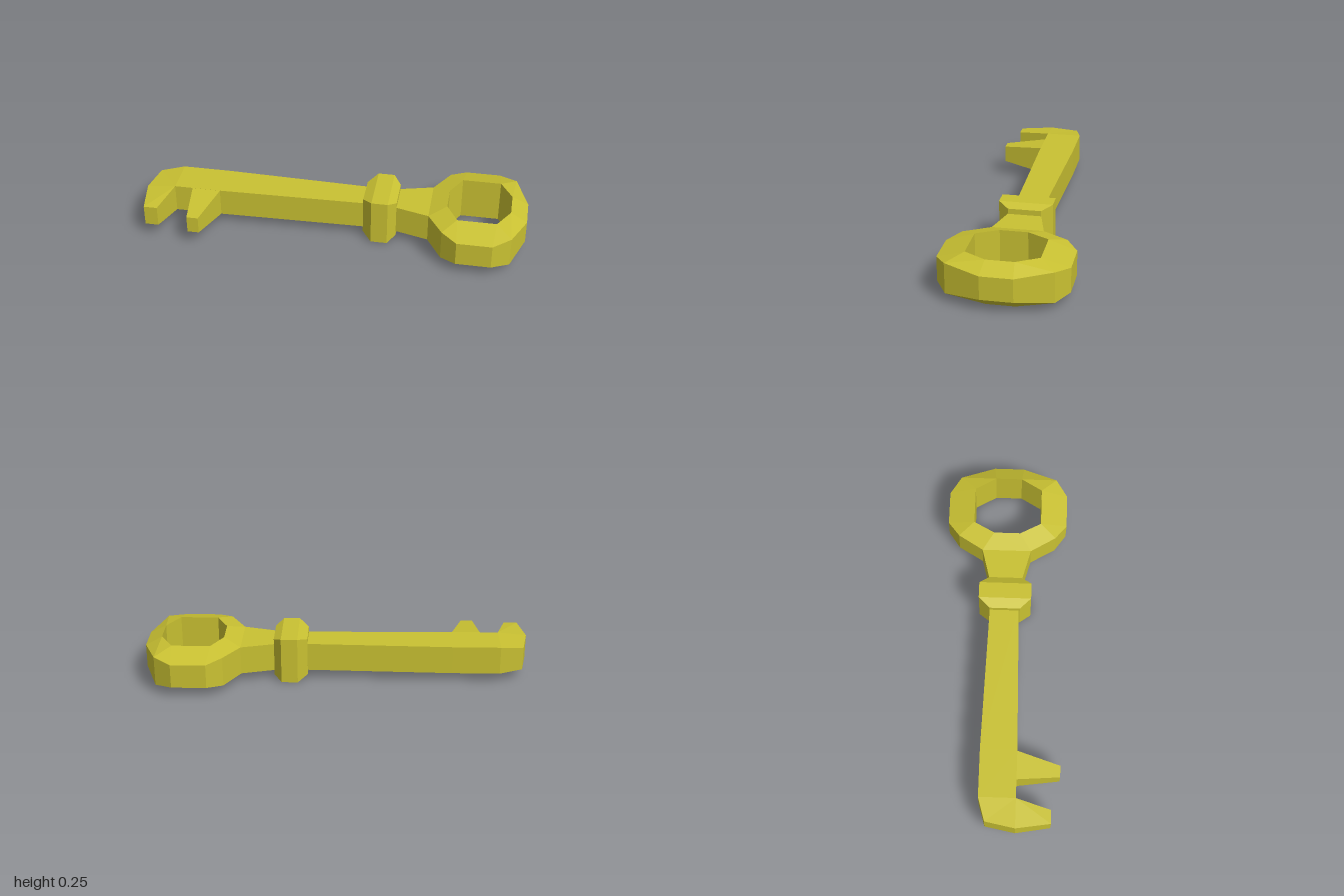
import * as THREE from 'three';

const material = new THREE.MeshStandardMaterial({ color: 0xc9c132, flatShading: true });

// Skins a row of equal-length cross-sections; closed joins the last section to the first.
function loft(name, sections, closed = false) {
  const positions = [];
  const tri = (a, b, c) => {
    const area = b.clone().sub(a).cross(c.clone().sub(a)).length();
    if (area > 1e-7) for (const p of [a, b, c]) positions.push(p.x, p.y, p.z);
  };
  const rings = sections.map(s => s.map(p => new THREE.Vector3(...p)));
  const n = rings[0].length;
  const spans = closed ? rings.length : rings.length - 1;
  for (let s = 0; s < spans; s++) {
    const a = rings[s], b = rings[(s + 1) % rings.length];
    for (let i = 0; i < n; i++) {
      const j = (i + 1) % n;
      tri(a[i], a[j], b[j]);
      tri(a[i], b[j], b[i]);
    }
  }
  if (!closed) {
    const first = rings[0], last = rings[rings.length - 1];
    for (let i = 1; i < n - 1; i++) {
      tri(first[0], first[i + 1], first[i]);
      tri(last[0], last[i], last[i + 1]);
    }
  }
  const geometry = new THREE.BufferGeometry();
  geometry.setAttribute('position', new THREE.Float32BufferAttribute(positions, 3));
  geometry.computeVertexNormals();
  const mesh = new THREE.Mesh(geometry, material);
  mesh.name = name;
  return mesh;
}

// Rectangle across the x axis; the two z sides may sit at different x.
const acrossX = (xBack, xFront, y0, y1, z0, z1) =>
  [[xBack, y0, z0], [xBack, y1, z0], [xFront, y1, z1], [xFront, y0, z1]];

// Rectangle across the z axis.
const acrossZ = (z, x0, x1, y0, y1) => [[x0, y0, z], [x1, y0, z], [x1, y1, z], [x0, y1, z]];

function createBow() {
  // Outer corners: x, z, bottom, top. Inner corners: x, z.
  const outer = {
    a: [1, 0.08, 0.065, 0.185], b: [0.93, 0.26, 0.045, 0.202], c: [0.84, 0.32, 0.06, 0.187],
    d: [0.66, 0.32, 0.06, 0.187], e: [0.58, 0.26, 0.045, 0.202], f: [0.5, 0.13, 0.05, 0.2],
  };
  const inner = { A: [0.915, 0.07], B: [0.85, 0.18], C: [0.65, 0.18], D: [0.59, 0.07] };
  const station = (pair, side) => {
    const [ox, oz, y0, y1] = outer[pair[0]];
    const [ix, iz] = inner[pair[1]];
    return [[ix, 0, iz * side], [ox, y0, oz * side], [ox, y1, oz * side], [ix, 0.23, iz * side]];
  };
  const half = ['aA', 'bA', 'bB', 'cB', 'dC', 'eC', 'eD', 'fD'];
  return loft('ringHandle', [
    ...half.map(p => station(p, 1)),
    ...half.slice().reverse().map(p => station(p, -1)),
  ], true);
}

export function createModel() {
  const model = new THREE.Group();
  model.name = 'key';

  model.add(createBow());

  // Flared neck between ring and collar
  model.add(loft('neck', [
    acrossX(0.3, 0.3, 0.05, 0.2, -0.078, 0.078),
    acrossX(0.5, 0.5, 0.05, 0.2, -0.13, 0.13),
  ]));

  // Bevelled collar
  model.add(loft('collar', [
    [0.155, 0.025, 0.228, 0.08],
    [0.205, 0.005, 0.25, 0.138],
    [0.29, 0.005, 0.25, 0.138],
    [0.33, 0.025, 0.228, 0.085],
  ].map(([x, y0, y1, z]) => acrossX(x, x, y0, y1, -z, z))));

  // Shaft with a slanted tip
  model.add(loft('shaft', [
    acrossX(-0.97, -1, 0.06, 0.185, -0.065, 0.09),
    acrossX(-0.85, -0.85, 0.05, 0.2, -0.1, 0.09),
    acrossX(-0.6, -0.6, 0.05, 0.2, -0.1, 0.09),
    acrossX(0.18, 0.18, 0.05, 0.2, -0.078, 0.074),
  ]));

  // Two tapered teeth
  model.add(loft('endTooth', [
    [[-1, 0.06, 0.09], [-0.85, 0.05, 0.09], [-0.85, 0.2, 0.09], [-1, 0.185, 0.09]],
    acrossZ(0.268, -0.97, -0.9, 0.07, 0.178),
  ]));
  model.add(loft('innerTooth', [
    acrossZ(0.085, -0.755, -0.605, 0.05, 0.2),
    acrossZ(0.31, -0.73, -0.67, 0.08, 0.17),
  ]));

  return model;
}
